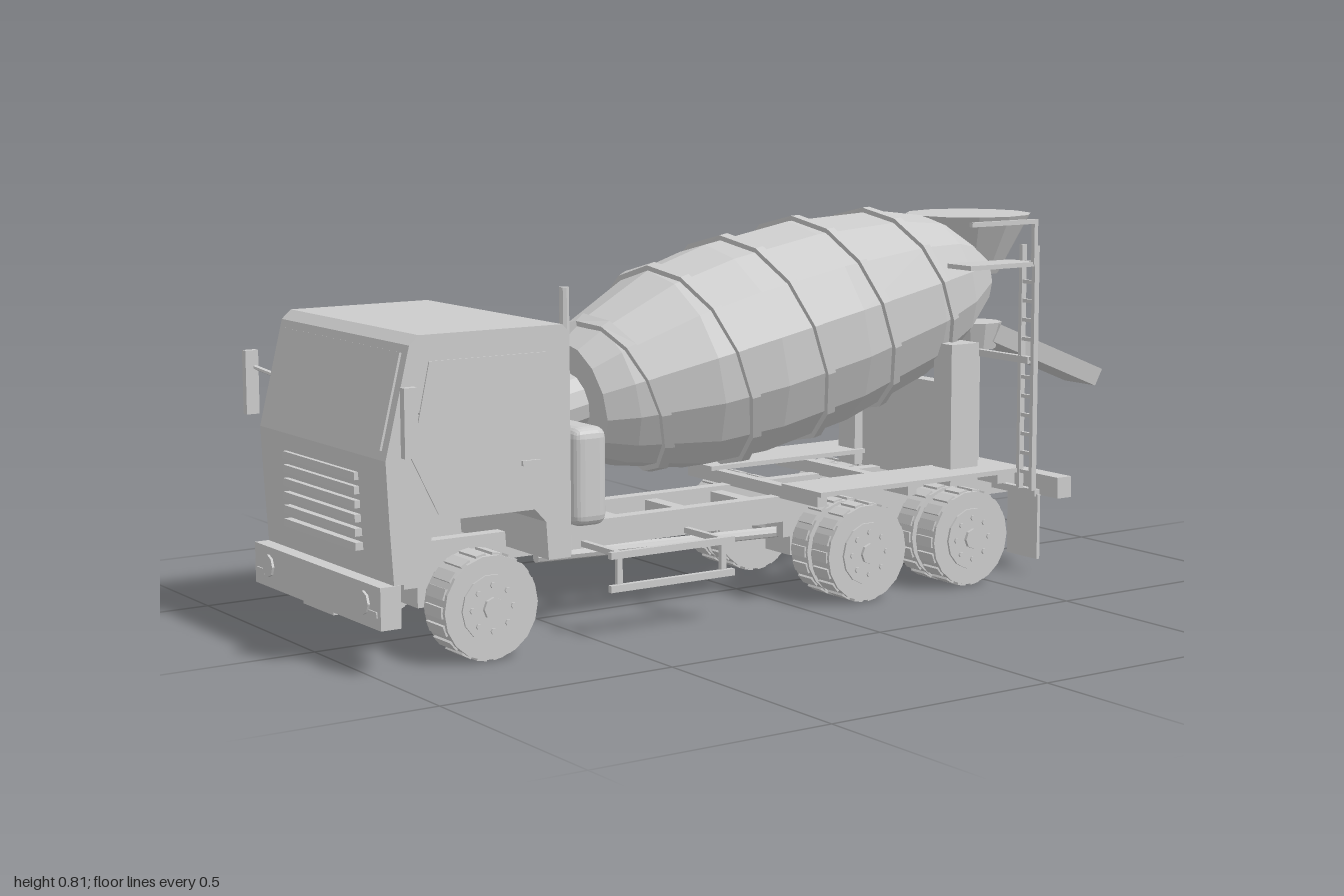
import * as THREE from 'three';
import { RoundedBoxGeometry } from 'three/addons/geometries/RoundedBoxGeometry.js';

const mat = new THREE.MeshStandardMaterial({ color: 0xcccccc, flatShading: true });

export function createModel() {
  const root = new THREE.Group();
  root.name = 'concreteMixerTruck';

  const add = (name, geo, x = 0, y = 0, z = 0, parent = root) => {
    const m = new THREE.Mesh(geo, mat);
    m.name = name;
    m.position.set(x, y, z);
    parent.add(m);
    return m;
  };
  // box given by its limits on each axis
  const box = (name, x0, x1, y0, y1, z0, z1, parent = root) =>
    add(name, new THREE.BoxGeometry(x1 - x0, y1 - y0, z1 - z0), (x0 + x1) / 2, (y0 + y1) / 2, (z0 + z1) / 2, parent);
  const pairBox = (name, x0, x1, ...r) => { box(name, x0, x1, ...r); box(name, -x1, -x0, ...r); };
  // round bar between two points
  const bar = (name, a, b, r, sides = 6) => {
    const p = new THREE.Vector3(...a), q = new THREE.Vector3(...b), d = q.clone().sub(p);
    const m = add(name, new THREE.CylinderGeometry(r, r, d.length(), sides));
    m.position.copy(p).add(q).multiplyScalar(0.5);
    m.quaternion.setFromUnitVectors(new THREE.Vector3(0, 1, 0), d.normalize());
    return m;
  };
  // side profile of [z, y] points, extruded across x
  const sideExtrude = (name, pts, width) => {
    const g = new THREE.ExtrudeGeometry(new THREE.Shape(pts.map(p => new THREE.Vector2(...p))), { depth: width, bevelEnabled: false });
    g.translate(0, 0, -width / 2).rotateY(-Math.PI / 2);
    return add(name, g);
  };
  const xCyl = (r, w, n) => new THREE.CylinderGeometry(r, r, w, n).rotateZ(Math.PI / 2);

  // Cab with wheel arches
  sideExtrude('cab', [[0.58, 0.185], [0.63, 0.185], [0.635, 0.26], [0.66, 0.287], [0.86, 0.287], [0.885, 0.26],
    [0.89, 0.175], [0.965, 0.175], [0.972, 0.285], [0.978, 0.41], [0.925, 0.622], [0.905, 0.64], [0.595, 0.64], [0.58, 0.625]], 0.536);
  sideExtrude('doors', [[0.63, 0.3], [0.87, 0.3], [0.925, 0.41], [0.885, 0.59], [0.63, 0.59]], 0.542);
  pairBox('doorHandle', 0.27, 0.277, 0.375, 0.385, 0.65, 0.69);
  const glass = add('windshield', new THREE.BoxGeometry(0.492, 0.185, 0.008), 0, 0.517, 0.952);
  glass.rotation.x = -0.245;
  for (let i = 0; i < 6; i++) box('grilleSlat', -0.153, 0.153, 0.225 + i * 0.027, 0.24 + i * 0.027, 0.95, 0.985);
  box('bumper', -0.27, 0.27, 0.093, 0.175, 0.952, 0.995);
  box('bumperTab', -0.065, 0.065, 0.085, 0.095, 0.955, 0.99);
  for (const s of [-1, 1]) {
    add('headlight', new THREE.CylinderGeometry(0.023, 0.023, 0.012, 8).rotateX(Math.PI / 2), s * 0.205, 0.137, 0.994);
    box('indicator', s * 0.24 - 0.018, s * 0.24 + 0.018, 0.116, 0.127, 0.98, 0.998);
    bar('mirrorArm', [s * 0.265, 0.495, 0.91], [s * 0.335, 0.522, 0.96], 0.005);
    box('mirror', s * 0.337 - 0.008, s * 0.337 + 0.008, 0.425, 0.555, 0.95, 0.978);
  }
  bar('exhaustPipe', [0.215, 0.18, 0.558], [0.215, 0.705, 0.558], 0.01, 8);

  // Chassis
  pairBox('chassisRail', 0.075, 0.105, 0.16, 0.215, -0.695, 0.95);
  for (const z of [0.52, 0.34, 0.17, 0, -0.29, -0.55]) box('crossMember', -0.09, 0.09, 0.17, 0.205, z - 0.015, z + 0.015);
  box('rearBeam', -0.25, 0.25, 0.163, 0.21, -0.735, -0.695);
  for (const s of [-1, 1])
    add('tailLight', new THREE.CylinderGeometry(0.014, 0.014, 0.012, 8).rotateX(Math.PI / 2), s * 0.225, 0.187, -0.738);
  pairBox('fender', 0.13, 0.268, 0.238, 0.248, -0.56, -0.025);
  for (const z of [-0.54, -0.29, -0.05]) box('fenderBracket', -0.24, 0.24, 0.212, 0.239, z - 0.012, z + 0.012);
  pairBox('mudFlap', 0.155, 0.255, 0.035, 0.18, -0.64, -0.632);
  box('mudFlapBar', -0.25, 0.25, 0.175, 0.19, -0.642, -0.627);

  // Wheels with tread blocks, rims and bolts
  const tire = (g, x, w) => {
    add('tire', xCyl(0.102, w, 18), x, 0, 0, g);
    for (let i = 0; i < 18; i++) {
      const a = (i + 0.5) / 18 * Math.PI * 2;
      const b = add('treadBlock', new THREE.BoxGeometry(w * 0.8, 0.01, 0.022), x, Math.cos(a) * 0.1, Math.sin(a) * 0.1, g);
      b.rotation.x = a;
    }
  };
  const wheel = (s, z, dual) => {
    const g = new THREE.Group();
    g.name = dual ? 'rearWheel' : 'frontWheel';
    g.position.set(0, 0.107, z);
    root.add(g);
    if (dual) {
      tire(g, s * 0.162, 0.058);
      tire(g, s * 0.235, 0.062);
      add('wheelSpacer', xCyl(0.075, 0.05, 12), s * 0.2, 0, 0, g);
    } else tire(g, s * 0.226, 0.082);
    add('rim', xCyl(0.066, 0.006, 14), s * 0.268, 0, 0, g);
    add('hub', xCyl(0.022, 0.018, 8), s * 0.269, 0, 0, g);
    for (let i = 0; i < 8; i++) {
      const a = i / 8 * Math.PI * 2;
      add('wheelBolt', xCyl(0.006, 0.01, 6), s * 0.27, Math.cos(a) * 0.045, Math.sin(a) * 0.045, g);
    }
  };
  for (const z of [0.757, -0.15, -0.432]) {
    wheel(1, z, z < 0);
    wheel(-1, z, z < 0);
    bar('axle', [-0.24, 0.107, z], [0.24, 0.107, z], 0.016, 8);
    box('axleHousing', -0.045, 0.045, 0.07, 0.145, z - 0.04, z + 0.04);
    pairBox('leafSpring', 0.078, 0.102, 0.125, 0.16, z - 0.1, z + 0.1);
  }
  bar('driveShaft', [0, 0.13, 0.5], [0, 0.107, -0.43], 0.012, 8);

  // Side tank and guard rails
  add('fuelTank', new RoundedBoxGeometry(0.125, 0.065, 0.26, 2, 0.025), -0.165, 0.143, 0.35);
  box('tankStrap', -0.232, -0.1, 0.165, 0.18, 0.24, 0.46);
  for (const s of [-1, 1]) {
    for (const y of [0.103, 0.17]) box('guardRail', s * 0.242 - 0.006, s * 0.242 + 0.006, y - 0.007, y + 0.007, 0.178, 0.475);
    for (const z of [0.2, 0.45]) {
      box('guardStrut', Math.min(s * 0.09, s * 0.245), Math.max(s * 0.09, s * 0.245), 0.164, 0.176, z - 0.006, z + 0.006);
      box('guardPost', s * 0.236 - 0.005, s * 0.236 + 0.005, 0.1, 0.175, z - 0.006, z + 0.006);
    }
  }

  // Equipment behind the cab and front drum support
  box('engineCover', -0.13, 0.13, 0.27, 0.395, 0.5, 0.582);
  box('engineCoverBase', -0.09, 0.09, 0.2, 0.27, 0.5, 0.57);
  add('waterTank', new RoundedBoxGeometry(0.34, 0.2, 0.078, 2, 0.022), 0, 0.316, 0.468);

  // Rear drum support
  pairBox('rearPillar', 0.14, 0.2, 0.212, 0.52, -0.505, -0.428);
  box('rearSupportPlate', -0.15, 0.15, 0.21, 0.43, -0.485, -0.45);
  bar('rearPost', [-0.165, 0.2, -0.617], [-0.165, 0.66, -0.617], 0.01, 8);
  box('rearPostBar', -0.17, 0.24, 0.47, 0.485, -0.625, -0.61);

  // Drum: local +y runs along the tilted axis towards the rear
  const drum = new THREE.Group();
  drum.name = 'drum';
  drum.position.set(0, 0.517, 0.054);
  drum.rotation.x = -(Math.PI / 2 - 0.2);
  root.add(drum);
  const prof = [[-0.36, 0.125], [-0.3, 0.158], [-0.13, 0.215], [0.02, 0.232], [0.24, 0.228], [0.48, 0.192], [0.6, 0.152], [0.7, 0.09]];
  const sides = 14;
  const pts = [[prof[0][0], 0], ...prof, [0.7, 0]].map(([s, r]) => new THREE.Vector2(r, s));
  // end caps need [radius 0] points on the axis
  add('drumShell', new THREE.LatheGeometry(pts, sides), 0, 0, 0, drum);
  add('drumHub', new THREE.CylinderGeometry(0.06, 0.06, 0.11, 12), 0, -0.4, 0, drum);
  const radiusAt = s => {
    for (let i = 1; i < prof.length; i++) {
      const [s0, r0] = prof[i - 1], [s1, r1] = prof[i];
      if (s <= s1) return r0 + (r1 - r0) * (s - s0) / (s1 - s0);
    }
    return prof[prof.length - 1][1];
  };
  // Spiral rib wound round the drum
  const pos = [], idx = [], turns = 4.8, steps = Math.round(turns * sides), hw = 0.01;
  for (let j = 0; j <= steps; j++) {
    const a = j / sides * Math.PI * 2, s = -0.31 + 0.19 * j / sides;
    for (const [dr, ds] of [[0.011, hw], [0.011, -hw], [-0.008, -hw], [-0.008, hw]]) {
      const r = radiusAt(s + ds) + dr;
      pos.push(r * Math.sin(a), s + ds, r * Math.cos(a));
    }
    if (j < steps) for (let k = 0; k < 4; k++) {
      const p = j * 4 + k, q = j * 4 + (k + 1) % 4;
      idx.push(p, q, p + 4, p + 4, q, q + 4);
    }
  }
  const e = steps * 4;
  idx.push(0, 2, 1, 0, 3, 2, e, e + 1, e + 2, e, e + 2, e + 3);
  const rib = new THREE.BufferGeometry();
  rib.setAttribute('position', new THREE.Float32BufferAttribute(pos, 3));
  rib.setIndex(idx);
  rib.computeVertexNormals();
  add('spiralRib', rib, 0, 0, 0, drum);

  // Loading hopper, discharge cup and chute
  add('hopper', new THREE.CylinderGeometry(0.142, 0.07, 0.133, 12), 0, 0.718, -0.638);
  add('dischargeCup', new THREE.CylinderGeometry(0.058, 0.045, 0.06, 10), 0, 0.508, -0.665);
  bar('cupBracket', [0, 0.21, -0.66], [0, 0.49, -0.66], 0.014, 8);
  const chute = new THREE.Group();
  chute.name = 'chute';
  chute.position.set(0, 0.452, -0.838);
  chute.rotation.x = -0.38;
  root.add(chute);
  box('chuteFloor', -0.05, 0.05, -0.02, -0.012, -0.168, 0.168, chute);
  for (const s of [-1, 1]) {
    const w = box('chuteSide', s * 0.05 - 0.004, s * 0.05 + 0.004, -0.02, 0.022, -0.168, 0.168, chute);
    w.rotation.z = -s * 0.15;
  }

  // Ladder, platform and handrail on the left
  for (const x of [0.21, 0.252]) box('ladderRail', x - 0.005, x + 0.005, 0.19, 0.73, -0.625, -0.612);
  for (let i = 0; i < 12; i++) box('ladderRung', 0.21, 0.252, 0.225 + i * 0.042, 0.233 + i * 0.042, -0.622, -0.614);
  box('platform', 0.18, 0.258, 0.685, 0.695, -0.61, -0.43);
  box('handrailPost', 0.252, 0.262, 0.69, 0.788, -0.615, -0.605);
  box('handrail', 0.252, 0.262, 0.778, 0.788, -0.615, -0.43);
  return root;
}
